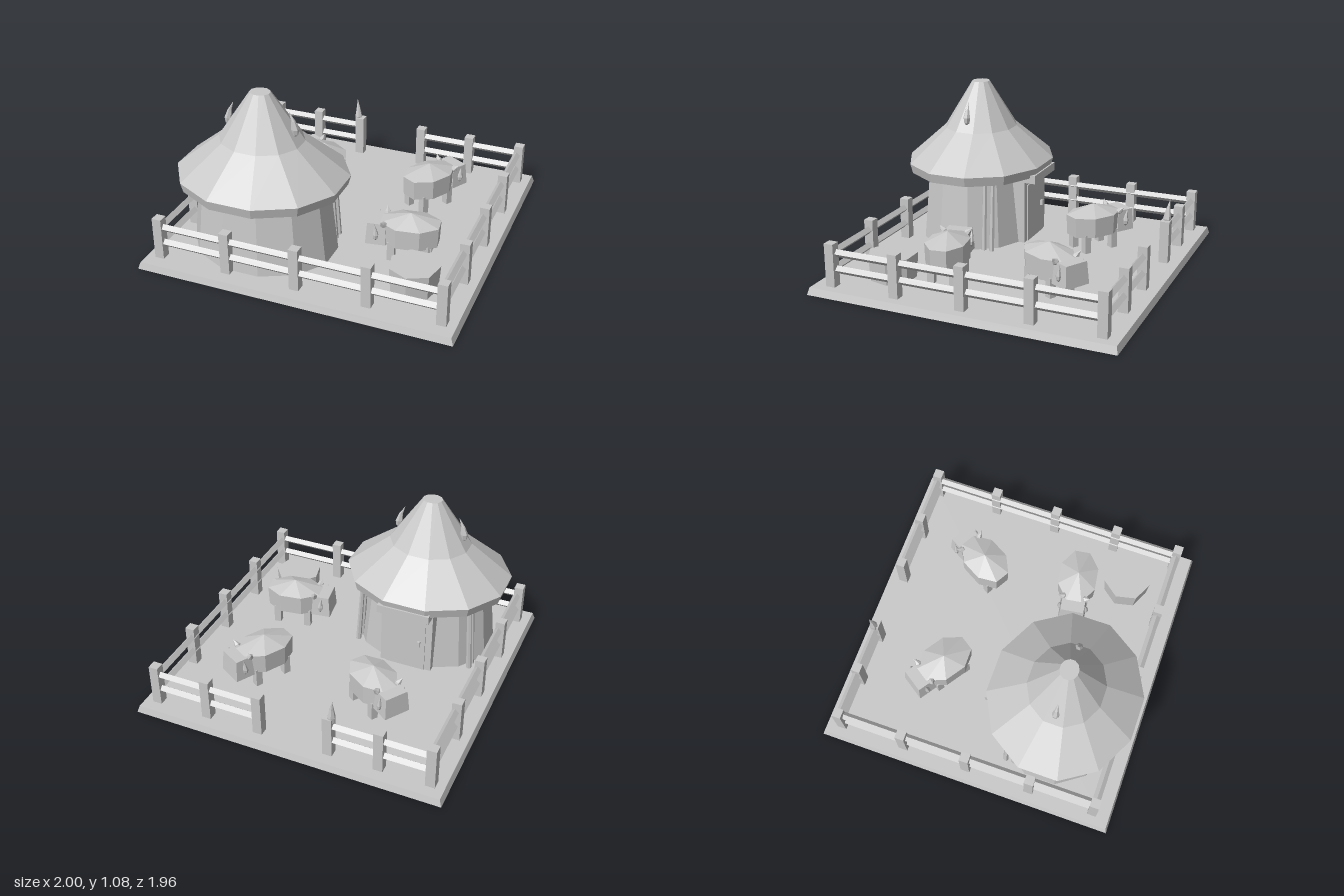
import * as THREE from 'three';

const stone = new THREE.MeshStandardMaterial({ color: 0xc8c8c8, flatShading: true });
stone.name = 'plain grey';

function add(parent, name, geometry, x = 0, y = 0, z = 0) {
  const mesh = new THREE.Mesh(geometry, stone);
  mesh.name = name;
  mesh.position.set(x, y, z);
  parent.add(mesh);
  return mesh;
}

const box = (w, h, d) => new THREE.BoxGeometry(w, h, d);

// Twelve-sided tapered tier with a flat side facing front and back
const tier = (top, bottom, h) =>
  new THREE.CylinderGeometry(top, bottom, h, 12, 1, false, Math.PI / 12);

// Box whose top is drawn in by the given factors
function taperedBox(w, h, d, sx, sz) {
  const g = box(w, h, d);
  const pos = g.attributes.position;
  for (let i = 0; i < pos.count; i++) {
    if (pos.getY(i) > 0) {
      pos.setX(i, pos.getX(i) * sx);
      pos.setZ(i, pos.getZ(i) * sz);
    }
  }
  return g;
}

// Teardrop spike whose tip bends towards +x
function spike(h, r, bend) {
  const profile = [[0, 0], [r * 0.8, h * 0.15], [r, h * 0.35], [r * 0.55, h * 0.65], [0, h]];
  const g = new THREE.LatheGeometry(profile.map(p => new THREE.Vector2(...p)), 6);
  const pos = g.attributes.position;
  for (let i = 0; i < pos.count; i++) {
    const t = pos.getY(i) / h;
    pos.setX(i, pos.getX(i) + bend * (t * t - t * 0.5));
  }
  g.computeVertexNormals();
  return g;
}

function makeFence(parent) {
  const fence = new THREE.Group();
  fence.name = 'fence';
  fence.position.z = 0.004;
  parent.add(fence);
  const post = (x, z) => add(fence, 'fencePost', box(0.06, 0.32, 0.06), x, 0.16, z);
  // Two diamond-section rails along a run
  const rails = (x, z, length, alongX) => {
    for (const y of [0.15, 0.255]) {
      const r = add(fence, 'fenceRail', new THREE.CylinderGeometry(0.025, 0.025, length, 4), x, y, z);
      if (alongX) r.rotation.z = Math.PI / 2;
      else r.rotation.x = Math.PI / 2;
    }
  };
  for (const x of [-0.9, -0.45, 0, 0.45, 0.9]) post(x, 0.85);
  for (const x of [-0.9, -0.58, -0.26, 0.2, 0.55, 0.9]) post(x, -0.87);
  for (const z of [-0.44, -0.01, 0.42]) for (const x of [-0.9, 0.9]) post(x, z);
  rails(0, 0.85, 1.8, true);
  rails(-0.58, -0.87, 0.64, true);
  rails(0.55, -0.87, 0.7, true);
  rails(-0.89, -0.01, 1.72, false);
  rails(0.89, -0.01, 1.72, false);
  // Horn on the gate post, rooted inside it
  const horn = add(fence, 'gateHorn', spike(0.195, 0.026, -0.03), -0.28, 0.26, -0.873);
  horn.rotation.y = -Math.PI / 4;
}

function makeHut(parent) {
  const hut = new THREE.Group();
  hut.name = 'hut';
  hut.position.set(-0.375, 0, 0.468);
  parent.add(hut);
  add(hut, 'hutWall', tier(0.41, 0.462, 0.49), 0, 0.285, 0).scale.z = 0.835;
  // Roof in three tiers: eaves, skirt and peak
  const roof = [['eaves', 0.54, 0.523, 0.5, 0.562], ['roofSkirt', 0.266, 0.54, 0.562, 0.78],
    ['roofPeak', 0.064, 0.266, 0.78, 1.08]];
  for (const [name, top, bottom, y0, y1] of roof) {
    add(hut, name, tier(top, bottom, y1 - y0), 0, (y0 + y1) / 2, 0).scale.z = 0.89;
  }
  // Doorway at the back, under a projecting lintel
  add(hut, 'doorFrame', box(0.345, 0.43, 0.13), 0, 0.255, -0.325);
  add(hut, 'door', box(0.26, 0.39, 0.008), 0, 0.24, -0.393);
  add(hut, 'doorHandle', box(0.018, 0.035, 0.02), -0.09, 0.25, -0.404);
  add(hut, 'lintel', box(0.345, 0.055, 0.16), 0.005, 0.493, -0.385);
  for (const side of [-1, 1]) {
    // Poles leaning on the wall under the eaves
    for (const z of [-0.25, -0.195]) {
      const pole = add(hut, 'eavesPole', new THREE.CylinderGeometry(0.014, 0.018, 0.48, 6), side * 0.375, 0.28, z);
      pole.rotation.z = side * 0.06;
    }
    // Roof horns curving inwards
    const horn = add(hut, 'roofHorn', spike(0.17, 0.024, -0.07), side * 0.215, 0.815, 0);
    if (side < 0) horn.rotation.y = Math.PI;
  }
}

// Grazing animal, head towards +x before turning
function makeAnimal(parent, x, z, dx, dz) {
  const animal = new THREE.Group();
  animal.name = 'animal';
  animal.position.set(x, 0, z);
  animal.rotation.y = Math.atan2(-dz, dx);
  parent.add(animal);
  const turn = Math.PI / 8;
  const body = add(animal, 'body', new THREE.CylinderGeometry(0.134, 0.13, 0.13, 8, 1, false, turn), 0, 0.22, 0);
  const back = add(animal, 'back', new THREE.ConeGeometry(0.134, 0.06, 8, 1, false, turn), 0, 0.315, 0);
  body.scale.x = back.scale.x = 1.45;
  add(animal, 'head', taperedBox(0.13, 0.14, 0.175, 0.84, 0.88), 0.2, 0.215, 0);
  for (const side of [-1, 1]) {
    for (const lx of [-0.105, 0.105]) {
      add(animal, 'leg', box(0.045, 0.17, 0.045), lx, 0.085, side * 0.07);
    }
    // Horn on the crown and ear at the side of the head
    const horn = add(animal, 'horn', spike(0.065, 0.022, 0.02), 0.155, 0.27, side * 0.06);
    horn.rotation.x = side * 0.8;
    add(animal, 'ear', spike(0.115, 0.018, 0.02), 0.2, 0.175, side * 0.088);
  }
}

export function createModel() {
  const model = new THREE.Group();
  model.name = 'farmyard';
  // Slab that the posts and legs just pass through
  add(model, 'base', taperedBox(2, 0.045, 1.956, 0.985, 0.988), 0, 0.0235, 0);
  makeFence(model);
  makeHut(model);
  makeAnimal(model, -0.328, -0.36, -0.2, -0.135);
  makeAnimal(model, 0.422, -0.352, 0.115, -0.2);
  makeAnimal(model, 0.51, 0.278, -0.2, 0.03);
  // Seven-sided tub
  add(model, 'tub', new THREE.CylinderGeometry(0.156, 0.145, 0.16, 7), 0.64, 0.125, 0.59);
  return model;
}
